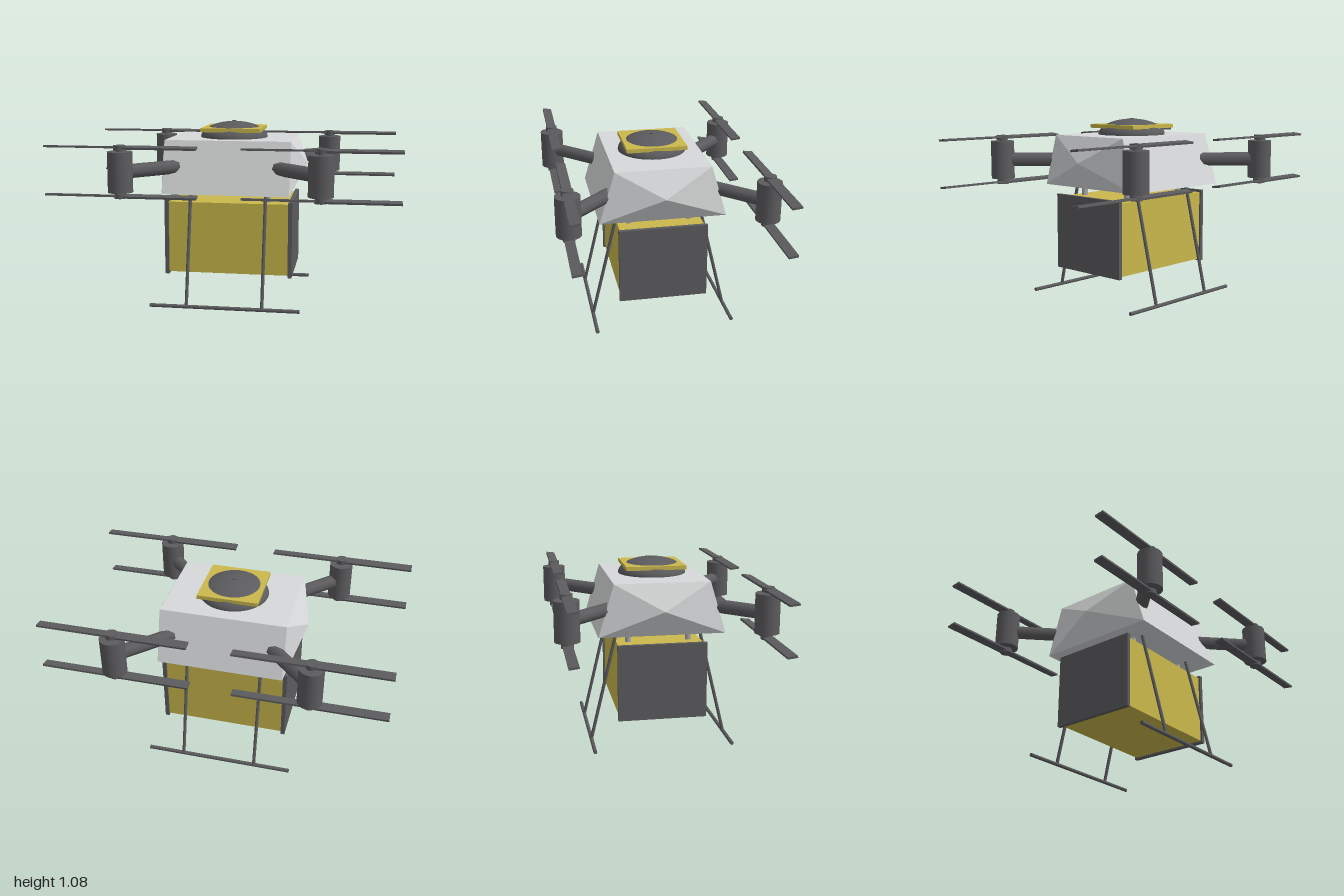
import * as THREE from 'three';
import { ConvexGeometry } from 'three/addons/geometries/ConvexGeometry.js';

const paint = (name, color) => {
  const m = new THREE.MeshStandardMaterial({ color });
  m.name = name;
  return m;
};

export function createModel() {
  const shell = paint('light grey shell', 0xd6d8d9);
  const yellow = paint('cargo yellow', 0xcab84c);
  const dark = paint('dark grey', 0x5c5c5f);
  const metal = paint('metal grey', 0xa8a9ab);

  const drone = new THREE.Group();
  drone.name = 'deliveryDrone';

  const add = (name, geometry, material, x = 0, y = 0, z = 0, parent = drone) => {
    const mesh = new THREE.Mesh(geometry, material);
    mesh.name = name;
    mesh.position.set(x, y, z);
    parent.add(mesh);
    return mesh;
  };
  const box = (w, h, d) => new THREE.BoxGeometry(w, h, d);
  const cyl = (r, h, sides = 24) => new THREE.CylinderGeometry(r, r, h, sides);
  // Round bar between two points
  const bar = (name, a, b, r, sides, material) => {
    const from = new THREE.Vector3(...a), to = new THREE.Vector3(...b);
    const dir = to.clone().sub(from);
    const mesh = add(name, cyl(r, dir.length(), sides), material);
    mesh.position.copy(from).add(to).multiplyScalar(0.5);
    mesh.quaternion.setFromUnitVectors(new THREE.Vector3(0, 1, 0), dir.normalize());
    return mesh;
  };

  // Faceted body: sloped front and back, pointed sides
  const points = [];
  for (const sx of [-1, 1]) {
    points.push(new THREE.Vector3(sx * 0.455, 0.832, 0));
    for (const sz of [-1, 1]) {
      points.push(new THREE.Vector3(sx * 0.373, 0.985, sz * 0.281));
      points.push(new THREE.Vector3(sx * 0.373, 0.677, sz * 0.373));
    }
  }
  add('body', new ConvexGeometry(points), shell);

  // Sensor dome with its square collar
  const dome = add('dome',
    new THREE.SphereGeometry(0.205, 40, 12, 0, Math.PI * 2, 0, Math.PI / 2), dark, 0, 0.985, 0);
  dome.scale.y = 0.095 / 0.205;
  add('domeTip', cyl(0.014, 0.006, 16), dark, 0, 1.081, 0);
  add('domeCollar', box(0.36, 0.023, 0.36), yellow, 0, 1.036, 0);

  // Cargo box with end plates
  add('cargoBox', box(0.73, 0.43, 0.505), yellow, 0, 0.397, 0);
  for (const sx of [-1, 1])
    add('cargoEndPlate', box(0.024, 0.456, 0.528), dark, sx * 0.372, 0.398, 0);

  for (const sz of [-1, 1]) {
    // Landing skid
    const skid = add('skid', cyl(0.0115, 0.892, 8), dark, 0, 0.0115, sz * 0.41);
    skid.rotation.z = Math.PI / 2;

    for (const sx of [-1, 1]) {
      bar('leg', [sx * 0.225, 0.012, sz * 0.41], [sx * 0.225, 0.72, sz * 0.239], 0.01, 8, dark);
      add('cargoHanger', cyl(0.018, 0.11, 16), metal, sx * 0.23, 0.645, sz * 0.181);
      bar('arm', [sx * 0.24, 0.83, sz * 0.24], [sx * 0.562, 0.83, sz * 0.562], 0.041, 8, dark);

      // Motor pod with a rotor above and below
      const pod = new THREE.Group();
      pod.name = 'motorPod';
      pod.position.set(sx * 0.5625, 0.83, sz * 0.5625);
      drone.add(pod);
      add('motor', cyl(0.071, 0.23), dark, 0, 0, 0, pod);
      add('motorShaft', cyl(0.018, 0.28, 12), dark, 0, 0, 0, pod);
      for (const sy of [-1, 1]) {
        add('rotorHub', cyl(0.035, 0.028), dark, 0, sy * 0.136, 0, pod);
        for (const side of [-1, 1]) {
          const blade = add('blade', box(0.4375, 0.012, 0.056), dark,
            side * 0.21875, sy * 0.138, 0, pod);
          blade.rotation.x = side * 0.12;
        }
      }
    }
  }
  return drone;
}
